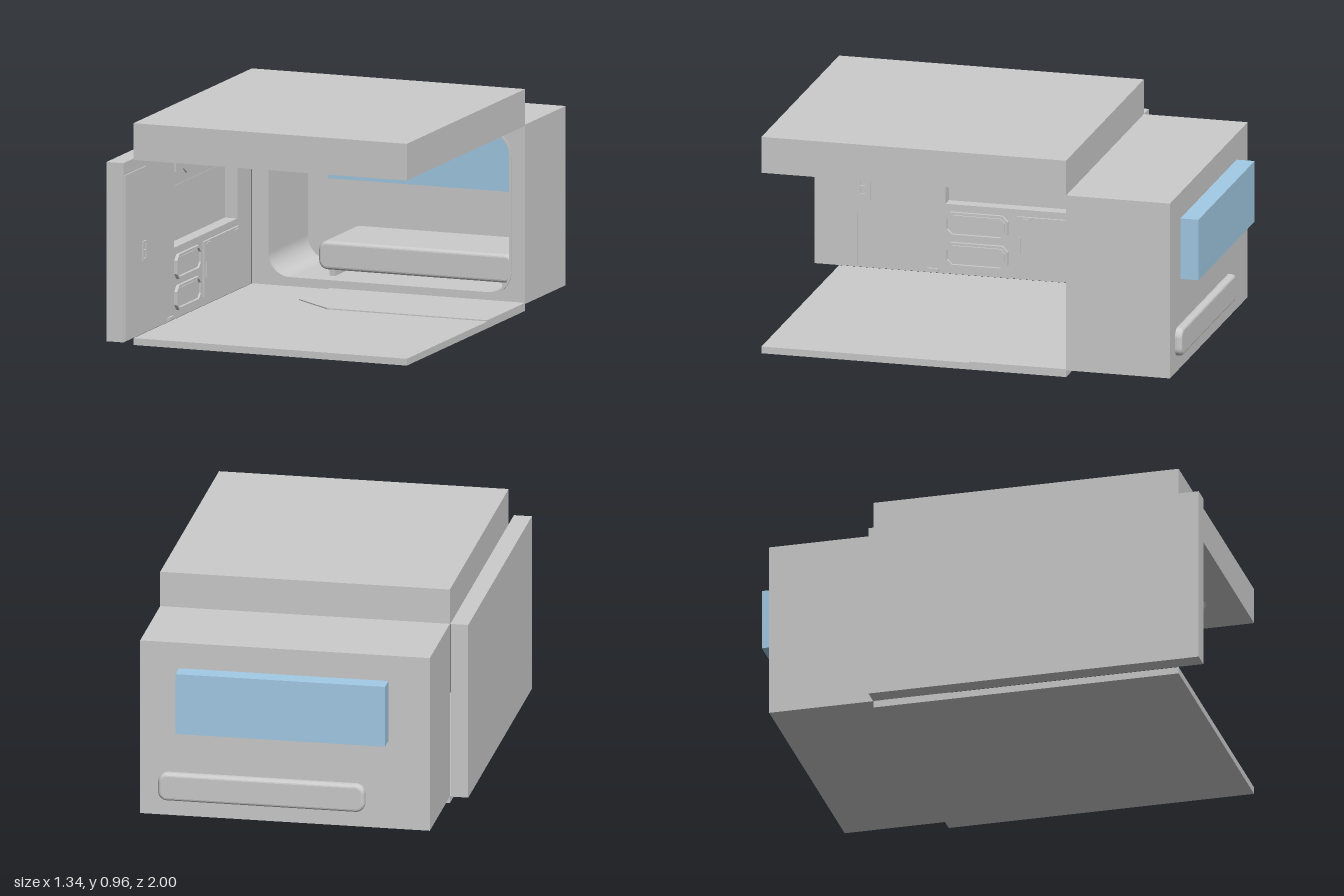
import * as THREE from 'three';

const grey = new THREE.MeshStandardMaterial({ color: 0xcccccc });
const glass = new THREE.MeshStandardMaterial({ color: 0xa3cbe6 });

export function createModel() {
  const root = new THREE.Group();

  const add = (name, geo, mat = grey) => {
    const m = new THREE.Mesh(geo, mat);
    m.name = name;
    root.add(m);
    return m;
  };
  // Box from its two extreme corners
  const box = (name, x0, x1, y0, y1, z0, z1, mat) => {
    const m = add(name, new THREE.BoxGeometry(x1 - x0, y1 - y0, z1 - z0), mat);
    m.position.set((x0 + x1) / 2, (y0 + y1) / 2, (z0 + z1) / 2);
    return m;
  };
  const poly = (pts) => new THREE.Shape(pts.map(([a, b]) => new THREE.Vector2(a, b)));
  const rect = (a0, a1, b0, b1) => poly([[a0, b0], [a1, b0], [a1, b1], [a0, b1]]);
  const chamfered = (a0, a1, b0, b1, c) => poly([[a0 + c, b0], [a1 - c, b0], [a1, b0 + c], [a1, b1 - c],
    [a1 - c, b1], [a0 + c, b1], [a0, b1 - c], [a0, b0 + c]]);
  const rounded = (x0, x1, y0, y1, r) => {
    const s = new THREE.Shape();
    s.absarc(x1 - r, y0 + r, r, -Math.PI / 2, 0);
    s.absarc(x1 - r, y1 - r, r, 0, Math.PI / 2);
    s.absarc(x0 + r, y1 - r, r, Math.PI / 2, Math.PI);
    s.absarc(x0 + r, y0 + r, r, Math.PI, Math.PI * 1.5);
    s.closePath();
    return s;
  };
  const extrude = (shape, depth, extra) => new THREE.ExtrudeGeometry(shape,
    { depth, bevelEnabled: false, curveSegments: 10, ...extra });
  // Side profile drawn in (-z, y), extruded along x from x0 to x1
  const sideways = (name, shape, x0, x1) => {
    const m = add(name, extrude(shape, x1 - x0));
    m.rotation.y = Math.PI / 2;
    m.position.x = x0;
    return m;
  };

  // Floor and roof slabs
  box('floor', -0.59, 0.67, 0, 0.03, -0.46, 0.89);
  box('roof', -0.59, 0.67, 0.805, 0.965, -0.46, 0.89);

  // Shallow raised floor patch in front of the sleeping bay
  const patch = add('floorStep', extrude(poly([[-0.23, 0.46], [-0.26, 0.18], [-0.07, 0.03], [0.67, 0.03], [0.67, 0.46]].reverse()), 0.005));
  patch.rotation.x = -Math.PI / 2;
  patch.position.y = 0.03;

  // Rear sleeping bay: hollow shell with a rounded mouth, closed by a back panel
  const shell = rect(-0.59, 0.67, 0.03, 0.81);
  shell.holes.push(rounded(-0.51, 0.6, 0.068, 0.768, 0.1));
  add('rearBay', extrude(shell, 0.44)).position.z = -0.9;
  box('rearBayBack', -0.59, 0.67, 0.03, 0.81, -0.92, -0.9);
  const rim = rounded(-0.522, 0.608, 0.06, 0.775, 0.108);
  rim.holes.push(rounded(-0.512, 0.598, 0.07, 0.765, 0.098));
  add('bayRim', extrude(rim, 0.02)).position.z = -0.476;
  box('window', -0.41, 0.5, 0.425, 0.695, -1, -0.885, glass);

  // Bunk with softened edges, reaching through the back panel, on short feet
  add('bunk', extrude(rounded(-0.295, 0.575, 0.115, 0.21, 0.025), 0.39,
    { bevelEnabled: true, bevelSize: 0.015, bevelThickness: 0.02, bevelSegments: 4 })).position.z = -0.93;
  for (const x of [-0.26, 0.535]) box('bunkFoot', x - 0.012, x + 0.012, 0.06, 0.11, -0.88, -0.56);

  // Side wall: outer plate and inner lining with an open alcove
  box('sideWallPlate', -0.67, -0.65, 0.03, 0.81, -0.46, 1);
  const lining = rect(-1, 0.46, 0.03, 0.81);
  lining.holes.push(rect(-0.42, 0.3, 0.34, 0.61));
  sideways('sideWallLining', lining, -0.65, -0.592);
  const hood = add('alcoveHood', extrude(poly([[-0.65, 0.58], [-0.592, 0.609], [-0.65, 0.609]]), 0.718));
  hood.position.z = -0.299;

  // Panels and cupboards on the inside of the wall
  sideways('upperPanel', poly([[-0.42, 0.67], [-0.33, 0.67], [-0.29, 0.645], [0.3, 0.645], [0.3, 0.66],
    [0.2, 0.73], [-0.07, 0.73], [-0.1, 0.75], [-0.39, 0.75], [-0.42, 0.73]]), -0.592, -0.584);
  for (const y of [0.065, 0.2]) {
    const frame = chamfered(-0.42, -0.14, y, y + 0.108, 0.025);
    frame.holes.push(chamfered(-0.41, -0.15, y + 0.01, y + 0.098, 0.022));
    sideways('drawerFrame', frame, -0.592, -0.578);
    sideways('drawerFront', chamfered(-0.405, -0.155, y + 0.015, y + 0.093, 0.02), -0.592, -0.584);
  }
  sideways('cabinetDoor', rect(-0.1, 0.3, 0.07, 0.31), -0.592, -0.582);
  for (const z of [0.06, -0.26]) box('cabinetHinge', -0.582, -0.577, 0.295, 0.303, z - 0.02, z + 0.02);
  box('cabinetHandle', -0.582, -0.575, 0.15, 0.22, 0.082, 0.09);

  // Door panel at the open end of the wall, with a stepped seam and latch
  sideways('wallDoor', poly([[-0.99, 0.035], [-0.81, 0.035], [-0.81, 0.27], [-0.75, 0.33], [-0.75, 0.755], [-0.99, 0.755]]), -0.592, -0.586);
  const latch = rect(-0.805, -0.76, 0.35, 0.435);
  latch.holes.push(rect(-0.795, -0.77, 0.36, 0.388), rect(-0.795, -0.77, 0.397, 0.425));
  sideways('doorLatch', latch, -0.586, -0.579);
  for (const y of [0.035, 0.735]) box('wallClip', -0.592, -0.582, y, y + 0.015, 0.45, 0.5);

  // Ceiling unit with a sloped front
  sideways('ceilingUnit', poly([[-0.13, 0.806], [-0.08, 0.772], [0.3, 0.772], [0.3, 0.806]]), -0.47, 0.57);

  // Ceiling lamps, fans and the louvres between them
  for (const x of [-0.305, 0.425]) {
    const lamp = add('ceilingLamp', new THREE.CylinderGeometry(0.067, 0.06, 0.014, 32));
    lamp.position.set(x, 0.798, 0.675);
    const ring = add('lampRing', new THREE.TorusGeometry(0.056, 0.005, 8, 32));
    ring.rotation.x = Math.PI / 2;
    ring.position.set(x, 0.791, 0.675);

    const frame = rect(-0.09, 0.09, -0.09, 0.09);
    frame.holes.push(rounded(-0.078, 0.078, -0.078, 0.078, 0.077));
    const fan = add('fanFrame', extrude(frame, 0.008));
    fan.rotation.x = Math.PI / 2;
    fan.position.set(x, 0.806, 0.255);
    for (let i = 0; i < 6; i++) {
      const blade = add('fanBlade', new THREE.BoxGeometry(0.14, 0.003, 0.02));
      blade.rotation.set(0.3, (i * Math.PI) / 6, 0, 'YXZ');
      blade.position.set(x, 0.802, 0.255);
    }
  }
  for (let i = 0; i < 14; i++) {
    const slat = add('louvre', new THREE.BoxGeometry(0.016, 0.008, 0.18));
    slat.rotation.z = 0.3;
    slat.position.set(-0.135 + i * 0.03, 0.802, 0.255);
  }

  return root;
}
